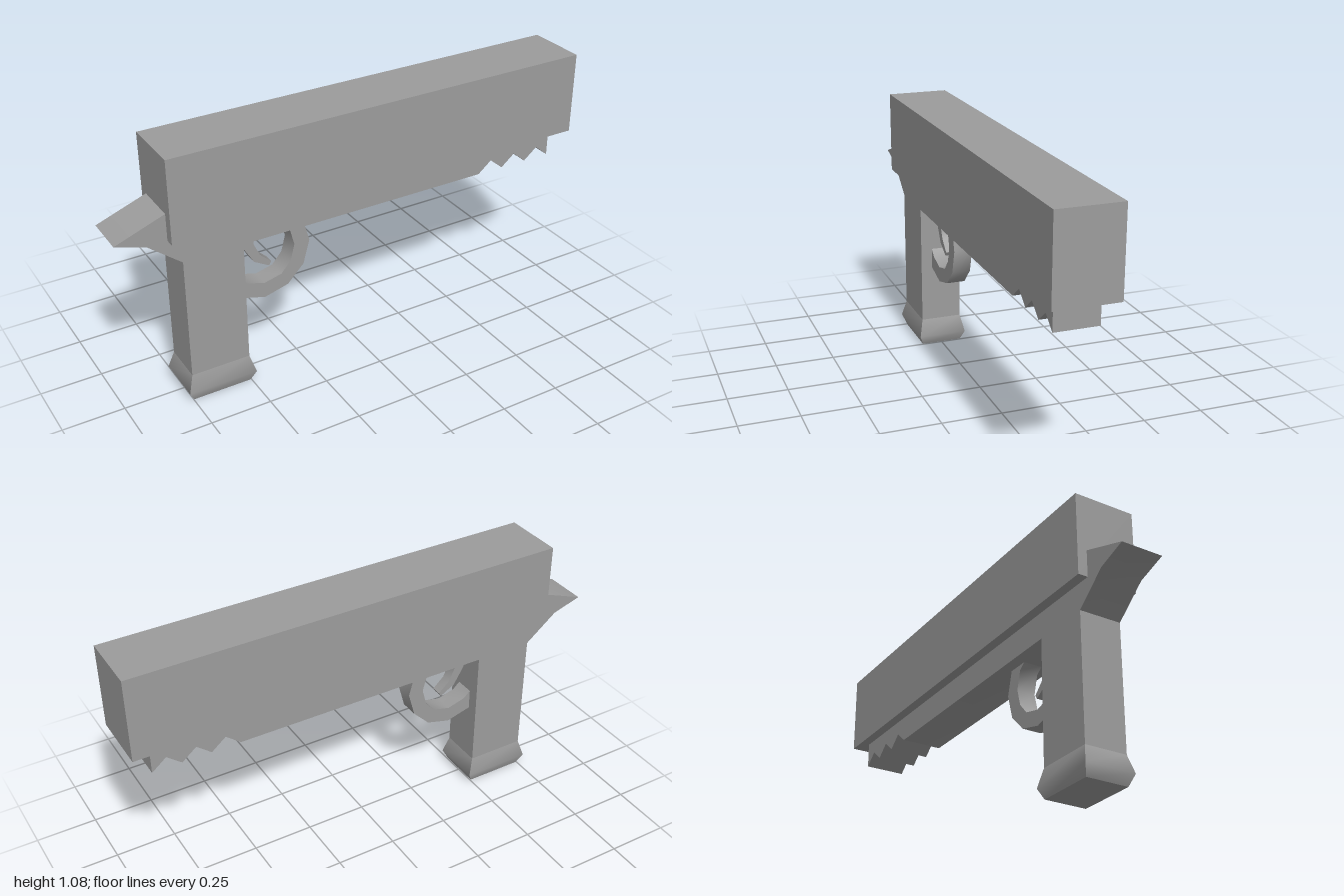
import * as THREE from 'three';
import { toCreasedNormals } from 'three/addons/utils/BufferGeometryUtils.js';

const material = new THREE.MeshStandardMaterial({ color: 0x9c9c9c });

function addMesh(group, name, geometry) {
  const mesh = new THREE.Mesh(toCreasedNormals(geometry, Math.PI / 4), material);
  mesh.name = name;
  group.add(mesh);
  return mesh;
}

// Side profile in x/y, extruded evenly to both sides of z = 0
function plate(points, halfWidth) {
  const shape = new THREE.Shape(points.map(([x, y]) => new THREE.Vector2(x, y)));
  const geometry = new THREE.ExtrudeGeometry(shape, { depth: halfWidth * 2, bevelEnabled: false });
  return geometry.translate(0, 0, -halfWidth);
}

export function createModel() {
  const group = new THREE.Group();
  group.name = 'pistol';

  // Long square slide
  const slide = addMesh(group, 'slide', new THREE.BoxGeometry(1.8, 0.34, 0.254));
  slide.position.set(0.1, 0.907, 0);

  // Frame with rear spur, grip and toothed rail under the muzzle
  const teeth = [];
  for (let i = 0; i < 7; i++) teeth.push([0.57 + i * 0.0587, i % 2 ? 0.677 : 0.629]);
  addMesh(group, 'frame', plate([
    [-0.8, 0.847], [-1, 0.773], [-0.88, 0.735], [-0.748, 0.629],
    [-0.748, 0.117], [-0.504, 0.117], [-0.504, 0.629],
    ...teeth, [0.922, 0.745], [-0.79, 0.745], [-0.79, 0.847],
  ], 0.087));

  // Flared magazine base: a box whose middle ring is widened
  const base = new THREE.BoxGeometry(0.244, 0.117, 0.174, 1, 2, 1);
  const pos = base.attributes.position;
  for (let i = 0; i < pos.count; i++) {
    if (Math.abs(pos.getY(i)) < 0.001) {
      pos.setXYZ(i, Math.sign(pos.getX(i)) * 0.144, -0.0145, Math.sign(pos.getZ(i)) * 0.104);
    }
  }
  addMesh(group, 'magazineBase', base).position.set(-0.626, 0.0585, 0);

  // Curved trigger guard
  addMesh(group, 'triggerGuard', plate([
    [-0.507, 0.361], [-0.4, 0.331], [-0.299, 0.358], [-0.228, 0.43], [-0.2, 0.531], [-0.228, 0.632],
    [-0.32, 0.632], [-0.286, 0.606], [-0.266, 0.531], [-0.284, 0.462], [-0.326, 0.414],
    [-0.4, 0.396], [-0.475, 0.418], [-0.507, 0.448],
  ], 0.039));

  // Slim hooked trigger
  addMesh(group, 'trigger', plate([
    [-0.48, 0.632], [-0.477, 0.568], [-0.433, 0.493], [-0.37, 0.457], [-0.36, 0.473],
    [-0.407, 0.517], [-0.433, 0.574], [-0.428, 0.632],
  ], 0.021));

  return group;
}
